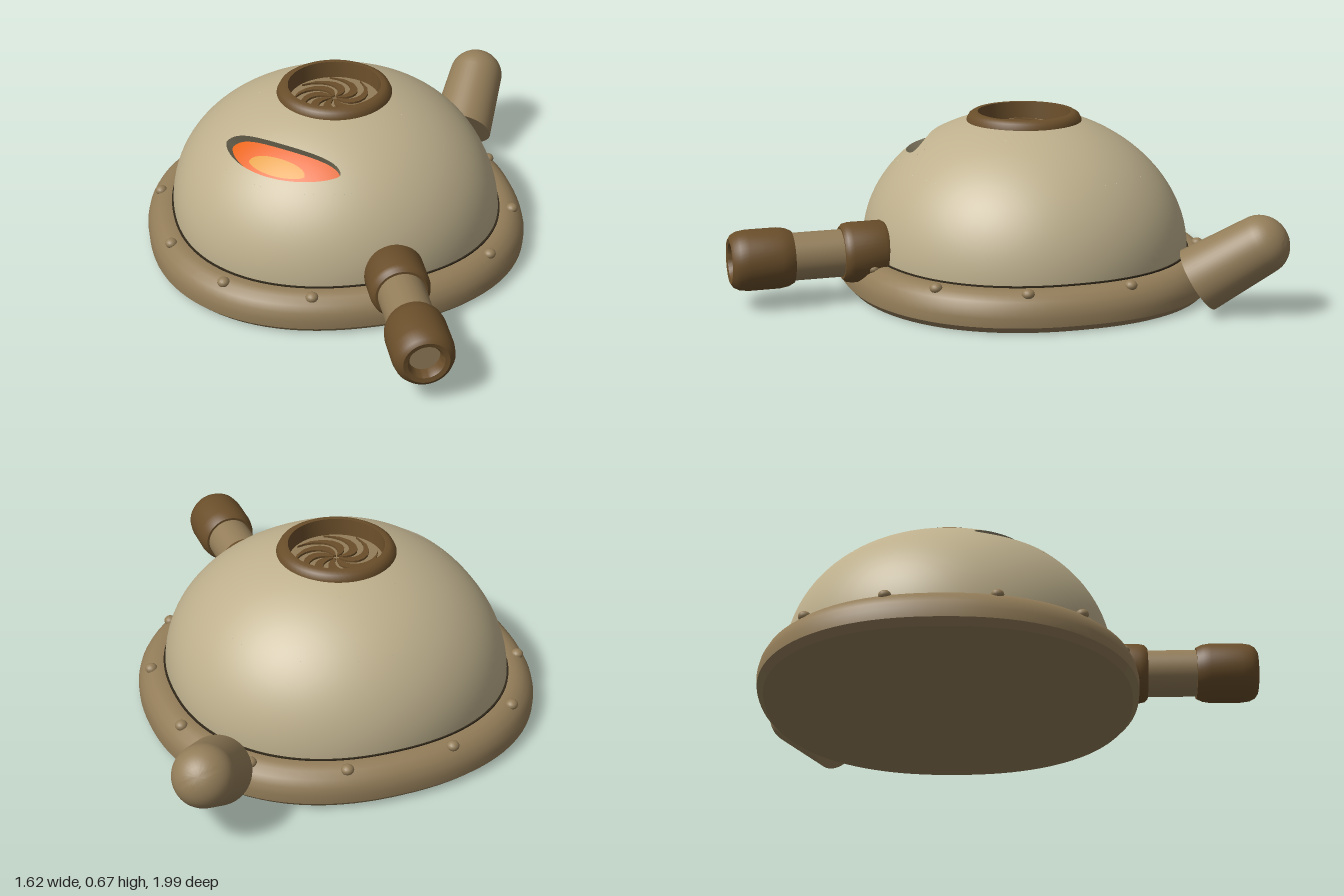
import * as THREE from 'three';
import { toCreasedNormals, mergeGeometries } from 'three/addons/utils/BufferGeometryUtils.js';

const CX = -0.055, CZ = -0.195; // centre of the domed body
const EYE = { a: -0.72, t: 0.765, half: 0.6, up: 0.17, down: 0.065 };

function mat(name, color, side = THREE.FrontSide) {
  const m = new THREE.MeshStandardMaterial({ color, side });
  m.name = name;
  return m;
}

function add(parent, name, geometry, material) {
  const mesh = new THREE.Mesh(geometry, material);
  mesh.name = name;
  parent.add(mesh);
  return mesh;
}

// Radius factor of a slightly squared circle
function squared(s, c, n) {
  return Math.pow(Math.abs(s) ** n + Math.abs(c) ** n, -1 / n);
}

function lathe(points, segments = 48, crease = 0.6) {
  const g = new THREE.LatheGeometry(points.map(p => new THREE.Vector2(p[0], p[1])), segments);
  return toCreasedNormals(g, crease);
}

// Lathe whose outline is a squared oval
function ovalLathe(points, depthRatio) {
  const g = new THREE.LatheGeometry(points.map(p => new THREE.Vector2(p[0], p[1])), 96);
  const pos = g.attributes.position;
  for (let i = 0; i < pos.count; i++) {
    const x = pos.getX(i), z = pos.getZ(i), r = Math.hypot(x, z);
    if (r < 1e-6) continue;
    const f = squared(x / r, z / r, 2.25);
    pos.setX(i, x * f);
    pos.setZ(i, z * f * depthRatio);
  }
  return toCreasedNormals(g, 0.6);
}

// Dome point and normal from heading a, angle from the top t, and offset along the normal
function domePoint(a, t, off = 0) {
  const s = Math.sin(a), c = Math.cos(a);
  const r = Math.sin(t) * squared(s, c, 2 + 0.25 * Math.sin(t));
  const p = new THREE.Vector3(0.65 * r * s, 0.527 * Math.cos(t), 0.63 * r * c);
  const n = new THREE.Vector3(p.x / 0.4225, p.y / 0.2777, p.z / 0.3969).normalize();
  p.addScaledVector(n, off);
  p.y += 0.145;
  return { p, n };
}

// Grid on the dome; rule(u, v) returns [a, t, offset]
function domePatch(rule, nu, nv) {
  const pos = [], nor = [], idx = [];
  for (let j = 0; j <= nv; j++) for (let i = 0; i <= nu; i++) {
    const { p, n } = domePoint(...rule(i / nu, j / nv));
    pos.push(p.x, p.y, p.z);
    nor.push(n.x, n.y, n.z);
    if (i < nu && j < nv) {
      const k = j * (nu + 1) + i, d = k + nu + 1;
      idx.push(k, d, d + 1, k, d + 1, k + 1);
    }
  }
  const g = new THREE.BufferGeometry();
  g.setAttribute('position', new THREE.Float32BufferAttribute(pos, 3));
  g.setAttribute('normal', new THREE.Float32BufferAttribute(nor, 3));
  g.setIndex(idx);
  return g;
}

// Half-moon outline of the eye slot
function eyeEdge(u, k = 1, kt = k) {
  const f = u * Math.PI * 2, s = Math.sin(f);
  return [EYE.a + EYE.half * k * Math.cos(f), EYE.t - (s > 0 ? EYE.up : EYE.down) * kt * s];
}

// Square window around the slot
function eyeWindow(u) {
  const f = u * Math.PI * 2, c = Math.cos(f), s = Math.sin(f);
  const k = 1 / Math.max(Math.abs(c), Math.abs(s));
  return [EYE.a + 0.75 * c * k, EYE.t - (s > 0 ? 0.295 : 0.135) * s * k];
}

export function createModel() {
  const model = new THREE.Group();
  const cream = mat('cream shell', 0xbeb08d);
  const tan = mat('tan metal', 0x937d59);
  const brown = mat('dark brown metal', 0x6a4e2a);
  const seamMat = mat('seam shadow', 0x30281a);
  const wallMat = mat('slot wall', 0x8c8369, THREE.DoubleSide);
  const orange = mat('orange glow', 0xe8630f);
  const yellow = mat('yellow glow', 0xe0992a);

  const body = new THREE.Group();
  body.name = 'body';
  body.position.set(CX, 0, CZ);
  model.add(body);

  // Base rim and the seam where the dome meets it
  add(body, 'baseRim', ovalLathe([[0, 0], [0.73, 0], [0.755, 0.025], [0.757, 0.06], [0.75, 0.09],
    [0.735, 0.117], [0.71, 0.138], [0.685, 0.147], [0.662, 0.148], [0.6, 0.14]], 0.96), tan);
  add(body, 'domeSeam', ovalLathe([[0.657, 0.135], [0.657, 0.153], [0.635, 0.153]], 0.968), seamMat);

  // Rivets round the rim
  for (let i = 0; i < 12; i++) {
    const a = (i + 0.5) * Math.PI / 6 + 0.03 * (i % 3 === 0 ? 1 : i % 3 === 2 ? -1 : 0);
    const s = Math.sin(a), c = Math.cos(a), f = squared(s, c, 2.25);
    const rivet = add(body, 'rivet', new THREE.SphereGeometry(0.024, 16, 10), tan);
    rivet.scale.y = 0.8;
    rivet.position.set(0.706 * f * s, 0.14, 0.68 * f * c);
  }

  // Dome, in bands that leave the vent and the eye slot open
  const T0 = 0.295, T1 = EYE.t - 0.295, T2 = EYE.t + 0.135, TAU = Math.PI * 2;
  const band = (a0, a1, t0, t1) => (u, v) => [a0 + (a1 - a0) * u, t0 + (t1 - t0) * v];
  add(body, 'dome', mergeGeometries([
    domePatch(band(0, TAU, T0, T1), 128, 6),
    domePatch(band(0, TAU, T2, Math.PI / 2), 128, 14),
    domePatch(band(EYE.a + 0.75, EYE.a - 0.75 + TAU, T1, T2), 96, 10),
    domePatch((u, v) => {
      const e = eyeEdge(u), w = eyeWindow(u);
      return [e[0] + (w[0] - e[0]) * v, e[1] + (w[1] - e[1]) * v];
    }, 96, 6),
  ]), cream);

  // Recessed eye: wall, glowing floor and bright core
  const wall = domePatch((u, v) => [...eyeEdge(u), -0.042 * v], 96, 1);
  wall.computeVertexNormals();
  add(body, 'eyeSlotWall', wall, wallMat);
  add(body, 'eyeGlow', domePatch((u, v) => [...eyeEdge(u, v), -0.04], 64, 6), orange);
  add(body, 'eyeCore', domePatch((u, v) => [...eyeEdge(u, v * 0.48, v * 0.55), -0.034], 64, 4), yellow);

  // Top vent: collar, floor and swirling blades
  add(body, 'ventCollar', lathe([[0.226, 0.61], [0.226, 0.642], [0.216, 0.662], [0.2, 0.672],
    [0.182, 0.672], [0.178, 0.6]], 64), brown);
  const floor = add(body, 'ventFloor', new THREE.CircleGeometry(0.18, 48), tan);
  floor.rotation.x = -Math.PI / 2;
  floor.position.y = 0.605;
  const blade = new THREE.Shape();
  const edge = [];
  for (let side = -1; side <= 1; side += 2) for (let i = 0; i <= 10; i++) {
    const q = side < 0 ? i / 10 : 1 - i / 10, r = 0.012 + 0.153 * q;
    const a = 1.5 * q * q + side * (0.24 * (1 - q ** 4) + 0.01);
    edge.push(new THREE.Vector2(r * Math.cos(a), r * Math.sin(a)));
  }
  blade.setFromPoints(edge);
  const bladeGeo = new THREE.ExtrudeGeometry(blade, { depth: 0.008, bevelEnabled: false });
  bladeGeo.rotateX(-Math.PI / 2);
  for (let i = 0; i < 8; i++) {
    const b = add(body, 'ventBlade', bladeGeo, brown);
    b.position.y = 0.605;
    b.rotation.y = i * Math.PI / 4;
  }

  // Front pipe, lying along z
  const pipe = new THREE.Group();
  pipe.name = 'frontPipe';
  pipe.position.set(0.06, 0.185, 0);
  pipe.rotation.x = Math.PI / 2;
  model.add(pipe);
  add(pipe, 'pipeSocket', lathe([[0, 0.4], [0.108, 0.4], [0.116, 0.415], [0.116, 0.54],
    [0.112, 0.56], [0.1, 0.572], [0, 0.572]]), brown);
  add(pipe, 'pipeShaft', lathe([[0.091, 0.55], [0.091, 0.78]]), tan);
  add(pipe, 'pipeNozzle', lathe([[0, 0.762], [0.1, 0.762], [0.111, 0.785], [0.116, 0.815], [0.116, 0.935],
    [0.111, 0.97], [0.1, 0.99], [0.085, 1], [0.068, 0.996], [0.059, 0.98], [0.058, 0.95]]), brown);
  const bore = add(pipe, 'nozzleBore', new THREE.CircleGeometry(0.06, 32), tan);
  bore.rotation.x = -Math.PI / 2;
  bore.position.y = 0.955;

  // Round-topped exhaust leaning out behind
  const profile = [[0, 0], [0.128, 0], [0.113, 0.27]];
  for (let i = 1; i <= 10; i++) {
    const q = i * Math.PI / 20;
    profile.push([0.113 * Math.cos(q), 0.27 + 0.108 * Math.sin(q)]);
  }
  const exhaust = add(model, 'exhaust', lathe(profile), tan);
  exhaust.position.set(0.585, 0.125, -0.68);
  exhaust.quaternion.setFromUnitVectors(new THREE.Vector3(0, 1, 0),
    new THREE.Vector3(0.11, 0.15, -0.2).normalize());

  return model;
}
